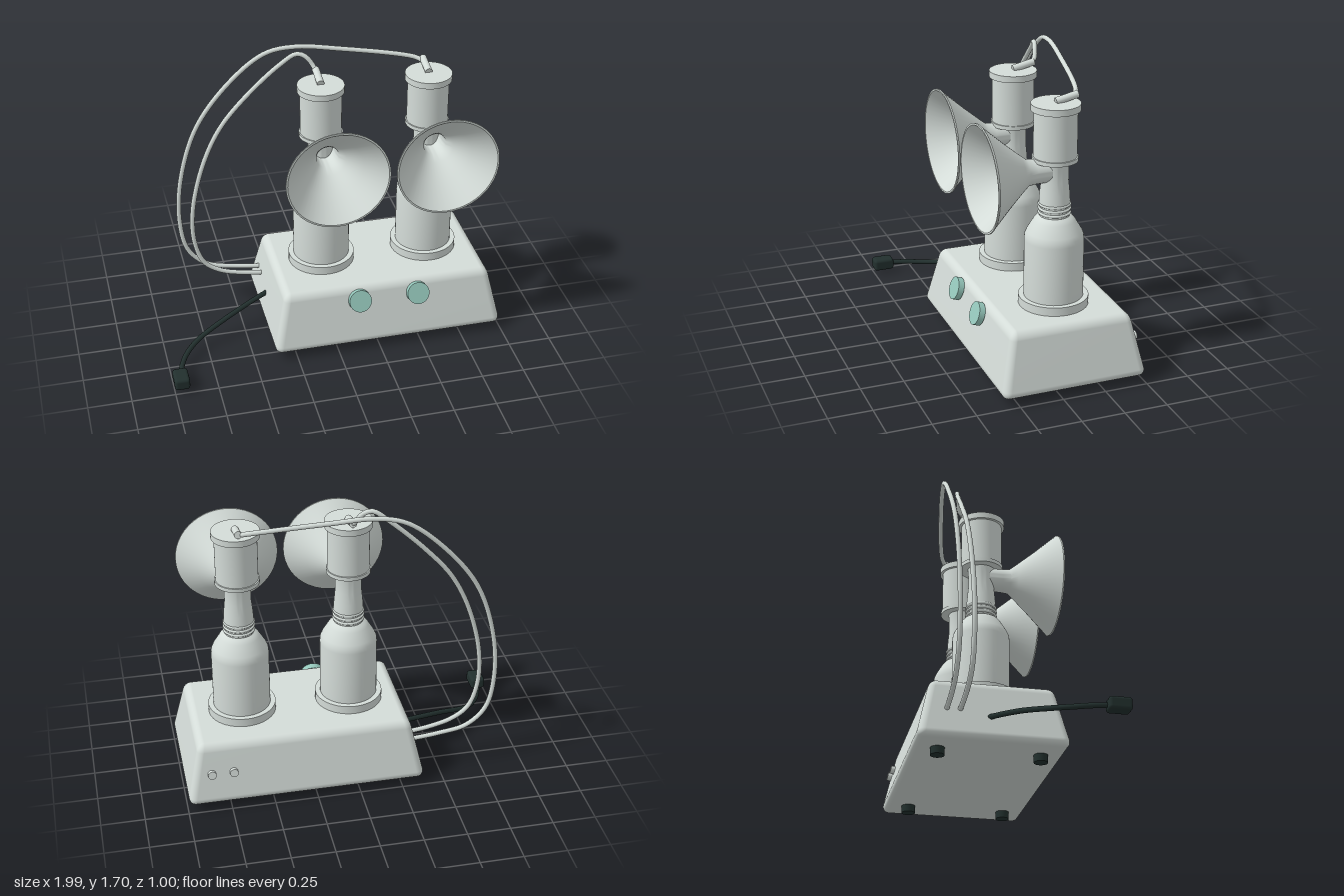
import * as THREE from 'three';
import { mergeVertices, toCreasedNormals } from 'three/addons/utils/BufferGeometryUtils.js';
import { RoundedBoxGeometry } from 'three/addons/geometries/RoundedBoxGeometry.js';

const mat = (name, color, side = THREE.FrontSide) => {
  const m = new THREE.MeshStandardMaterial({ color, side });
  m.name = name;
  return m;
};

export function createModel() {
  const grey = mat('pale grey plastic', 0xd4dcd8);
  const green = mat('soft green', 0x96c8bc);
  const dark = mat('dark rubber', 0x22302e);
  const model = new THREE.Group();
  model.name = 'doublePump';

  const add = (parent, name, geo, material, x = 0, y = 0, z = 0) => {
    const mesh = new THREE.Mesh(geo, material);
    mesh.name = name;
    mesh.position.set(x, y, z);
    parent.add(mesh);
    return mesh;
  };
  const lathe = (pts) =>
    toCreasedNormals(new THREE.LatheGeometry(pts.map(([r, y]) => new THREE.Vector2(r, y)), 48), 0.6);
  const tube = (pts, r) => new THREE.TubeGeometry(
    new THREE.CatmullRomCurve3(pts.map((p) => new THREE.Vector3(...p))), 90, r, 12);

  // Base: rounded box narrowed towards the top
  const W = 1.385, H = 0.362, D = 0.855, CX = 0.3075, CZ = -0.08;
  let base = new RoundedBoxGeometry(W, H, D, 5, 0.045);
  const p = base.attributes.position;
  for (let i = 0; i < p.count; i++) {
    const inset = 0.08 * (p.getY(i) / H + 0.5);
    p.setX(i, p.getX(i) * (1 - inset / (W / 2)));
    p.setZ(i, p.getZ(i) * (1 - inset / (D / 2)));
  }
  base.deleteAttribute('normal');
  base.deleteAttribute('uv');
  base = mergeVertices(base, 1e-4);
  base.computeVertexNormals();
  add(model, 'base', base, grey, CX, 0.043 + H / 2, CZ);

  // Feet
  for (const x of [-0.2, 0.81]) for (const z of [0.21, -0.365])
    add(model, 'foot', new THREE.CylinderGeometry(0.04, 0.04, 0.05, 24), dark, x, 0.025, z);

  // Front dials, lying on the sloping face
  for (const x of [0.13, 0.48])
    add(model, 'dial', new THREE.CylinderGeometry(0.066, 0.066, 0.035, 36), green, x, 0.332, 0.308)
      .rotation.x = Math.PI / 2 - 0.33;

  // Sockets on the back
  for (const x of [0.73, 0.855])
    add(model, 'socket', new THREE.CylinderGeometry(0.024, 0.024, 0.03, 20), grey, x, 0.235, -0.476)
      .rotation.x = Math.PI / 2 + 0.2;

  // Two pump columns
  for (const [name, x] of [['rightPump', -0.01], ['leftPump', 0.62]]) {
    const g = new THREE.Group();
    g.name = name;
    g.position.set(x, 0, -0.09);
    model.add(g);
    add(g, 'bottleHolder', lathe([[0, 0.39], [0.195, 0.39], [0.195, 0.455], [0, 0.455]]), grey);
    add(g, 'bottle', lathe([[0, 0.44], [0.165, 0.44], [0.165, 0.79], [0.162, 0.815], [0.152, 0.838],
      [0.115, 0.9], [0.1, 0.918], [0.084, 0.928], [0.084, 1.0], [0, 1.0]]), grey);
    // Screw rings on the bottle neck
    for (const y of [0.945, 0.97, 0.995]) {
      const ring = new THREE.TorusGeometry(0.084, 0.008, 8, 40);
      ring.rotateX(Math.PI / 2);
      add(g, 'neckRing', ring, grey, 0, y, 0);
    }
    add(g, 'connector', lathe([[0, 1.0], [0.086, 1.0], [0.082, 1.06], [0.075, 1.13],
      [0.075, 1.2], [0.08, 1.26], [0, 1.26]]), grey);
    add(g, 'chamber', lathe([[0, 1.245], [0.126, 1.245], [0.126, 1.268], [0.119, 1.268],
      [0.119, 1.535], [0, 1.535]]), grey);
    add(g, 'cap', lathe([[0, 1.528], [0.135, 1.528], [0.135, 1.565], [0, 1.565]]), grey);
    // Hose spigot leaning up towards the back
    add(g, 'spigot', new THREE.CylinderGeometry(0.021, 0.021, 0.13, 20), grey, 0, 1.585, -0.062)
      .rotation.x = -Math.PI / 2 + 0.22;

    // Hollow horn: outer wall, rim, then inner wall
    const horn = lathe([[0.06, -0.05], [0.067, -0.05], [0.068, 0.03], [0.073, 0.075], [0.105, 0.115],
      [0.185, 0.21], [0.29, 0.328], [0.298, 0.335], [0.298, 0.343], [0.288, 0.343],
      [0.176, 0.216], [0.098, 0.123], [0.066, 0.078], [0.06, 0.03], [0.06, -0.05]]);
    horn.rotateX(Math.PI / 2);
    add(g, 'horn', horn, grey, 0, 1.19, 0.09);
  }

  // Air hoses from the spigots round to the side of the base
  add(model, 'longHose', tube([[0.62, 1.585, -0.19], [0.58, 1.603, -0.22], [0.14, 1.665, -0.31],
    [-0.1, 1.687, -0.345], [-0.27, 1.655, -0.365], [-0.47, 1.5, -0.375], [-0.68, 1.23, -0.372],
    [-0.79, 0.9, -0.365], [-0.813, 0.6, -0.36], [-0.77, 0.39, -0.357], [-0.66, 0.28, -0.352],
    [-0.5, 0.24, -0.345], [-0.3, 0.215, -0.34]], 0.014), grey);
  add(model, 'shortHose', tube([[-0.01, 1.585, -0.19], [-0.02, 1.615, -0.222], [-0.06, 1.67, -0.24],
    [-0.11, 1.687, -0.255], [-0.2, 1.625, -0.272], [-0.4, 1.44, -0.283], [-0.56, 1.25, -0.282],
    [-0.67, 1.02, -0.278], [-0.743, 0.72, -0.272], [-0.742, 0.5, -0.27], [-0.69, 0.35, -0.268],
    [-0.6, 0.28, -0.267], [-0.47, 0.24, -0.267], [-0.3, 0.215, -0.267]], 0.014), grey);

  // Power cord and plug
  add(model, 'powerCord', tube([[-0.32, 0.19, -0.115], [-0.39, 0.178, -0.085], [-0.6, 0.132, 0.012],
    [-0.8, 0.075, 0.115], [-0.885, 0.057, 0.21], [-0.93, 0.055, 0.31], [-0.953, 0.055, 0.4]], 0.015), dark);
  add(model, 'plug', new RoundedBoxGeometry(0.088, 0.072, 0.125, 2, 0.018), dark, -0.956, 0.056, 0.438);

  return model;
}
